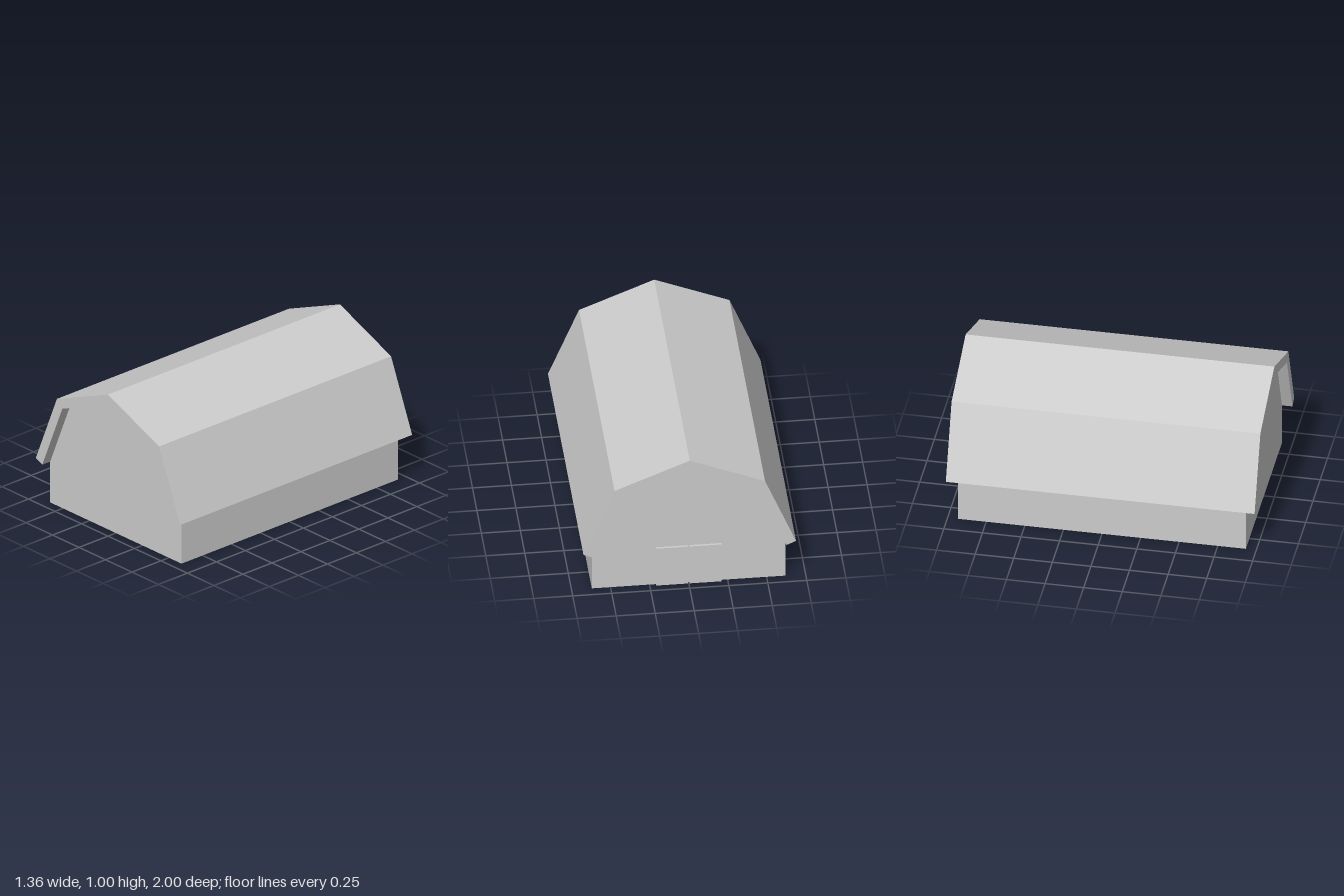
import * as THREE from 'three';

export function createModel() {
  const group = new THREE.Group();
  const solid = new THREE.MeshStandardMaterial({ color: 0xcccccc, flatShading: true });
  const thin = new THREE.MeshStandardMaterial({ color: 0xcccccc, flatShading: true, side: THREE.DoubleSide });

  const add = (name, geometry, material, x = 0, y = 0, z = 0) => {
    const mesh = new THREE.Mesh(geometry, material);
    mesh.name = name;
    mesh.position.set(x, y, z);
    group.add(mesh);
    return mesh;
  };
  // Mirror a half profile (eave to ridge) into a full arch, from +x to -x
  const arch = (half) => [...half, ...half.slice(0, -1).reverse().map(([x, y]) => [-x, y])];
  const shapeOf = (points) => new THREE.Shape(points.map(([x, y]) => new THREE.Vector2(x, y)));

  const outer = arch([[0.681, 0.314], [0.482, 0.798], [0, 0.996]]);
  const inner = arch([[0.62, 0.287], [0.431, 0.746], [0, 0.924]]);
  const wallX = 0.62, wallTop = 0.287, wallZ = 0.932;

  // Thick gambrel roof overhanging both ends
  const roofShape = shapeOf([...outer, ...[...inner].reverse()]);
  add('roof', new THREE.ExtrudeGeometry(roofShape, { depth: 2, bevelEnabled: false }), solid, 0, 0, -1);

  // Thin gable ends, open underneath
  const gable = new THREE.ShapeGeometry(shapeOf([[wallX, 0], ...inner, [-wallX, 0]]));
  add('frontWall', gable, thin, 0, 0, wallZ);
  add('backWall', gable, thin, 0, 0, -wallZ).rotation.y = Math.PI;

  // Low side walls and the pair of back doors
  for (const [side, s] of [['left', 1], ['right', -1]]) {
    const wall = new THREE.PlaneGeometry(wallZ * 2, wallTop);
    add(side + 'Wall', wall, thin, s * wallX, wallTop / 2, 0).rotation.y = s * Math.PI / 2;
    add(side + 'Door', new THREE.BoxGeometry(0.204, 0.288, 0.016), solid, s * 0.107, 0.144, -wallZ - 0.008);
  }
  return group;
}
